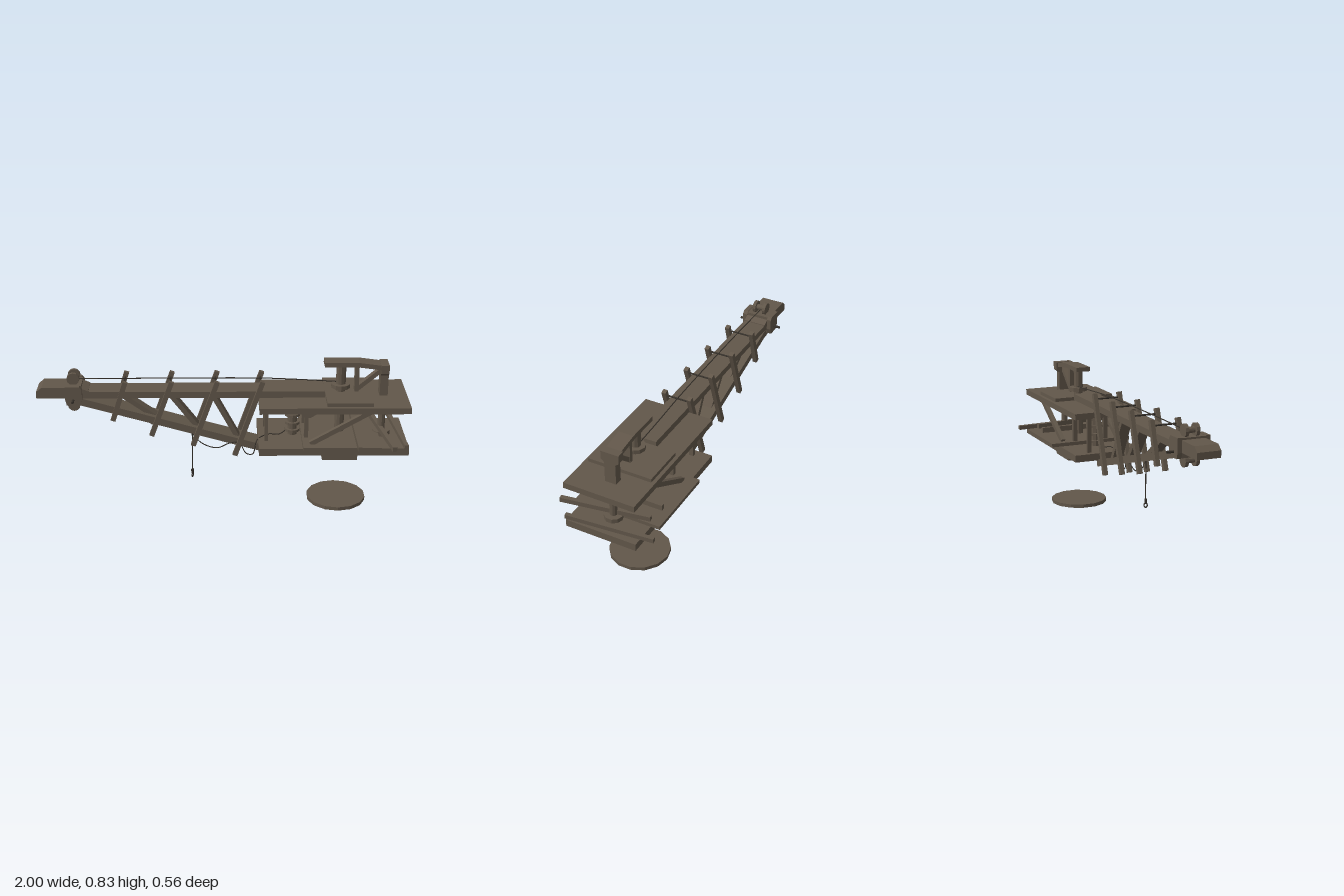
import * as THREE from 'three';

const ZC = -0.011; // centre line of the crane
const wood = new THREE.MeshStandardMaterial({ color: 0x62574a, flatShading: true });
wood.name = 'weathered wood';
const dark = new THREE.MeshStandardMaterial({ color: 0x36312b, flatShading: true });
dark.name = 'dark rope and iron';

export function createModel() {
  const root = new THREE.Group();
  root.name = 'woodenCrane';

  const add = (name, geo, mat = wood) => {
    const m = new THREE.Mesh(geo, mat);
    m.name = name;
    root.add(m);
    return m;
  };
  // box from minimum and maximum corners
  const box = (name, x0, x1, y0, y1, z0, z1) => {
    const m = add(name, new THREE.BoxGeometry(x1 - x0, y1 - y0, z1 - z0));
    m.position.set((x0 + x1) / 2, (y0 + y1) / 2, (z0 + z1) / 2);
    return m;
  };
  // slanted timber between two points in the side plane
  const timber = (name, x0, y0, x1, y1, thick, z, depth) => {
    const m = add(name, new THREE.BoxGeometry(Math.hypot(x1 - x0, y1 - y0), thick, depth));
    m.position.set((x0 + x1) / 2, (y0 + y1) / 2, z);
    m.rotation.z = Math.atan2(y1 - y0, x1 - x0);
    return m;
  };
  // bar lying flat between two points on the deck
  const flatBar = (name, x0, z0, x1, z1, y0, y1, w) => {
    const m = add(name, new THREE.BoxGeometry(w, y1 - y0, Math.hypot(x1 - x0, z1 - z0)));
    m.position.set((x0 + x1) / 2, (y0 + y1) / 2, (z0 + z1) / 2);
    m.rotation.y = Math.atan2(x1 - x0, z1 - z0);
    return m;
  };
  const post = (name, x, z, y0, y1, r, sides = 10, mat = wood) => {
    const m = add(name, new THREE.CylinderGeometry(r, r, y1 - y0, sides), mat);
    m.position.set(x, (y0 + y1) / 2, z);
    return m;
  };
  const axle = (name, x, y, z, r, len, mat = wood, sides = 12) => {
    const m = add(name, new THREE.CylinderGeometry(r, r, len, sides), mat);
    m.rotation.x = Math.PI / 2;
    m.position.set(x, y, z);
    return m;
  };
  // side profile extruded across z
  const profile = (name, pts, z0, z1) => {
    const s = new THREE.Shape(pts.map(p => new THREE.Vector2(p[0], p[1])));
    const m = add(name, new THREE.ExtrudeGeometry(s, { depth: z1 - z0, bevelEnabled: false }));
    m.position.z = z0;
    return m;
  };
  const rope = (name, pts, r = 0.003) => add(name, new THREE.TubeGeometry(
    new THREE.CatmullRomCurve3(pts.map(p => new THREE.Vector3(...p))), pts.length * 8, r, 5), dark);

  // round ground plate
  post('groundPlate', 0.638, -0.014, 0, 0.02, 0.164, 14);

  // decks and their cross boards
  box('lowerDeck', 0.195, 1, 0.36, 0.4, -0.21, 0.19);
  box('upperDeck', 0.195, 1, 0.602, 0.636, -0.21, 0.19);
  box('lowerCrossBoard', 0.43, 0.85, 0.4, 0.42, -0.26, 0.222);
  box('upperCrossBoard', 0.555, 0.8, 0.636, 0.656, -0.19, 0.17);
  flatBar('deckBar', 0.727, -0.21, 0.727, 0.278, 0.42, 0.45, 0.02);
  flatBar('deckBar', 0.83, -0.2, 0.91, 0.278, 0.424, 0.45, 0.024);
  flatBar('deckBar', 0.94, -0.28, 0.985, 0.2, 0.4, 0.424, 0.022);

  // hollow socket below the lower deck, notched at both ends
  const sideWall = (z0, z1) => box('socketSide', 0.545, 0.738, 0.28, 0.36, z0, z1);
  sideWall(0.037, 0.082);
  sideWall(-0.116, -0.071);
  for (const x of [0.545, 0.693]) {
    box('socketEnd', x, x + 0.045, 0.3, 0.36, -0.071, 0.037);
    box('socketEnd', x, x + 0.045, 0.28, 0.3, -0.071, -0.026);
    box('socketEnd', x, x + 0.045, 0.28, 0.3, -0.009, 0.037);
  }

  // supports between the decks
  for (const z of [0.077, -0.112]) {
    box('deckPost', 0.228, 0.246, 0.4, 0.602, z - 0.012, z + 0.012);
    box('deckPost', 0.442, 0.464, 0.4, 0.602, z - 0.012, z + 0.012);
  }
  for (const z of [0.163, -0.178]) timber('deckBrace', 0.47, 0.42, 0.785, 0.605, 0.026, z, 0.025);
  post('rearColumn', 0.872, ZC, 0.4, 0.602, 0.02);
  post('rearColumnCap', 0.872, ZC, 0.582, 0.602, 0.05);
  post('rearColumnFoot', 0.872, ZC, 0.4, 0.424, 0.05);
  post('mastColumn', 0.64, ZC, 0.4, 0.7, 0.026);

  // upright winch drum with ribs
  post('winchDrum', 0.383, ZC, 0.4, 0.602, 0.026);
  for (const y of [0.42, 0.462, 0.51, 0.55, 0.582]) post('winchRib', 0.383, ZC, y, y + 0.014, 0.042);

  // upper gantry
  post('mastPlate', 0.64, ZC, 0.676, 0.698, 0.052);
  post('mast', 0.64, ZC, 0.698, 0.805, 0.027);
  box('gantryPost', 0.714, 0.736, 0.636, 0.805, -0.035, 0.008);
  timber('gantryBrace', 0.725, 0.665, 0.87, 0.79, 0.024, ZC - 0.003, 0.035);
  profile('gantryArm', [[0.548, 0.803], [0.725, 0.803], [0.893, 0.78], [0.893, 0.806], [0.735, 0.828], [0.548, 0.828]], -0.058, 0.025);
  // rear post widening into a head
  const head = new THREE.Shape([[0.015, 0.636], [0.015, 0.752], [0.033, 0.768], [0.033, 0.814],
    [-0.068, 0.814], [-0.068, 0.768], [-0.048, 0.752], [-0.048, 0.636]].map(p => new THREE.Vector2(-p[0], p[1])));
  const headMesh = add('rearPost', new THREE.ExtrudeGeometry(head, { depth: 0.044, bevelEnabled: false }));
  headMesh.rotation.y = Math.PI / 2;
  headMesh.position.x = 0.85;

  // boom chords and tip
  box('upperChord', -0.97, 0.55, 0.64, 0.676, -0.075, 0.053);
  timber('lowerChord', -0.78, 0.622, 0.22, 0.338, 0.04, ZC, 0.12);
  profile('boomTip', [[-1, 0.64], [-0.72, 0.64], [-0.72, 0.68], [-0.77, 0.702], [-0.97, 0.702], [-1, 0.676]], -0.075, 0.053);

  // slanted side bars in pairs, each pair tied by a rod
  const bars = [[-0.592, 0.515, -0.52, 0.738], [-0.385, 0.425, -0.272, 0.738],
    [-0.16, 0.365, -0.028, 0.738], [0.068, 0.305, 0.215, 0.738]];
  for (const b of bars) {
    for (const z of [0.063, -0.085]) timber('boomBar', ...b, 0.027, z, 0.024);
    const t = (0.71 - b[1]) / (b[3] - b[1]);
    axle('tieRod', b[0] + t * (b[2] - b[0]), 0.71, ZC, 0.005, 0.15, dark, 6);
  }
  const braces = [[-0.56, 0.655, -0.36, 0.51], [-0.29, 0.655, -0.13, 0.445], [-0.06, 0.655, 0.085, 0.385]];
  for (const b of braces) timber('boomBrace', ...b, 0.026, ZC, 0.06);

  // pulley block at the boom tip
  for (const z of [0.066, -0.086]) profile('pulleyCheek',
    [[-0.835, 0.61], [-0.765, 0.605], [-0.752, 0.64], [-0.752, 0.7], [-0.765, 0.715], [-0.842, 0.715], [-0.842, 0.64]], z - 0.013, z + 0.013);
  box('pulleyBlock', -0.838, -0.757, 0.612, 0.712, -0.075, 0.053);
  axle('pulleyPin', -0.8, 0.64, ZC, 0.007, 0.25, dark, 8);
  for (const y of [0.74, 0.59]) {
    axle('pulleyHub', -0.802, y, ZC, 0.016, 0.07);
    for (const z of [-0.03, 0.03]) axle('pulleyDisc', -0.802, y, ZC + z, 0.034, 0.018);
  }

  // hoist line, slack line and hook
  rope('hoistLine', [[-0.8, 0.728, ZC], [-0.4, 0.73, ZC], [0.2, 0.726, ZC - 0.008], [0.42, 0.715, ZC - 0.012], [0.62, 0.703, ZC - 0.012]]);
  rope('slackLine', [[-0.165, 0.43, 0.053], [-0.11, 0.37, 0.053], [-0.03, 0.342, 0.05], [0.04, 0.37, 0.05], [0.09, 0.375, 0.055],
    [0.13, 0.312, 0.06], [0.165, 0.308, 0.06], [0.19, 0.39, 0.05], [0.25, 0.415, 0.03], [0.31, 0.405, 0.01], [0.36, 0.43, ZC]]);
  rope('hookLine', [[-0.165, 0.43, 0.053], [-0.165, 0.32, 0.053], [-0.165, 0.205, 0.053]]);
  post('hookBlock', -0.165, 0.053, 0.19, 0.214, 0.008, 8, dark);
  const ring = add('hookRing', new THREE.TorusGeometry(0.009, 0.0035, 5, 10), dark);
  ring.scale.y = 1.3;
  ring.rotation.y = Math.PI / 2.6;
  ring.position.set(-0.165, 0.179, 0.053);

  return root;
}
